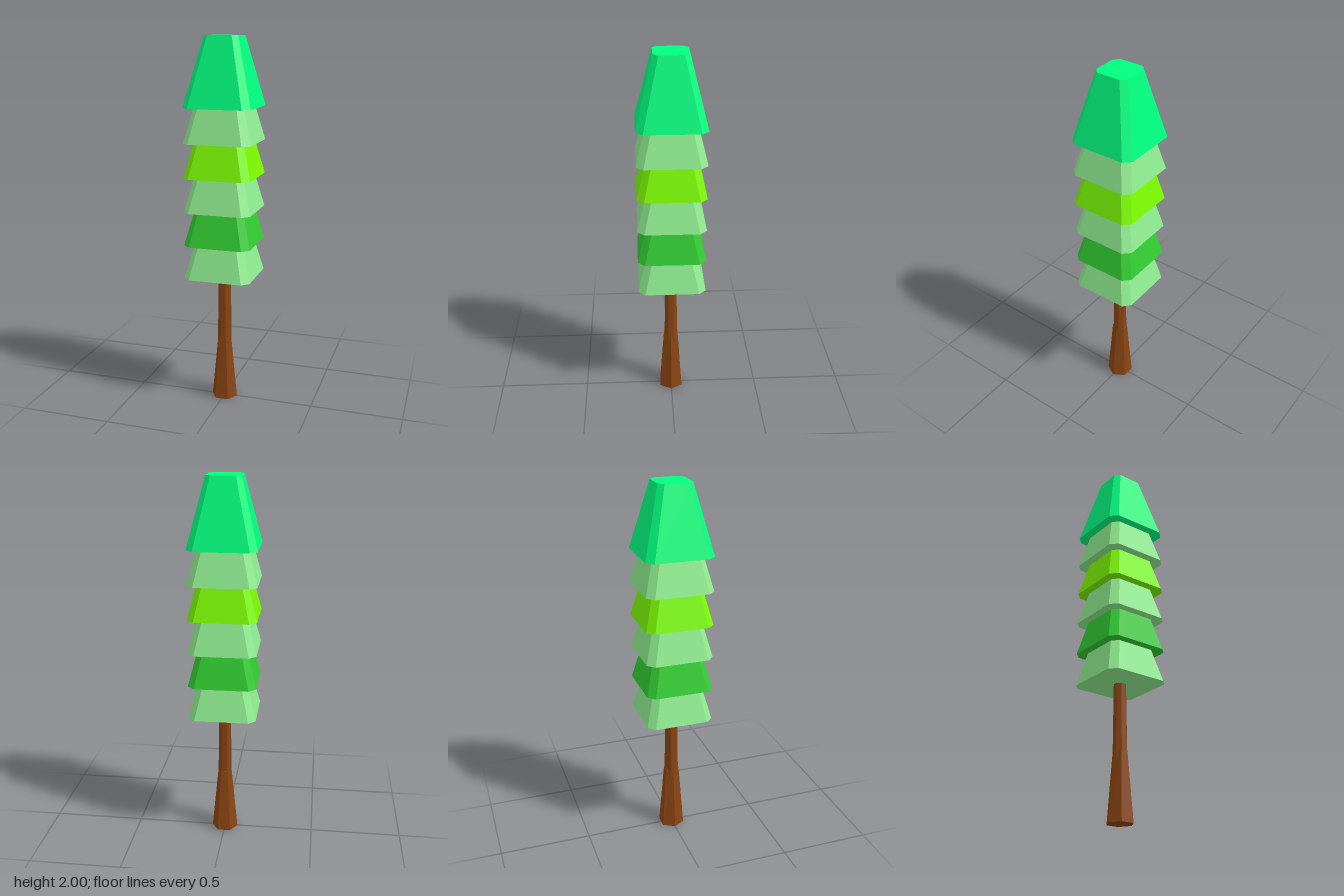
import * as THREE from 'three';

// Square ring with cut corners: half is the half width, flat the half length of each side
function cutSquare(half, flat) {
  return [[flat, half], [half, flat], [half, -flat], [flat, -half],
    [-flat, -half], [-half, -flat], [-half, flat], [-flat, half]];
}

// Hexagon with corners on the x axis
function hexagon(rx, rz) {
  return Array.from({ length: 6 }, (_, i) => {
    const a = Math.PI / 2 + i * Math.PI / 3;
    return [Math.sin(a) * rx, Math.cos(a) * rz];
  });
}

// Closed, faceted solid between a lower and an upper ring of [x, z] points
function frustum(name, lower, upper, y0, y1, color) {
  const n = lower.length;
  const positions = [];
  const push = (...points) => points.forEach((p) => positions.push(...p));
  const lo = lower.map(([x, z]) => [x, y0, z]);
  const up = upper.map(([x, z]) => [x, y1, z]);
  for (let i = 0; i < n; i++) {
    const j = (i + 1) % n;
    push(lo[i], lo[j], up[j], lo[i], up[j], up[i]);
    push([0, y0, 0], lo[j], lo[i], [0, y1, 0], up[i], up[j]);
  }
  const geometry = new THREE.BufferGeometry();
  geometry.setAttribute('position', new THREE.Float32BufferAttribute(positions, 3));
  geometry.computeVertexNormals();
  const mesh = new THREE.Mesh(geometry, new THREE.MeshStandardMaterial({ color, flatShading: true }));
  mesh.name = name;
  return mesh;
}

export function createModel() {
  const tree = new THREE.Group();
  tree.name = 'tree';

  // Trunk: flared six-sided foot below a slim eight-sided stem
  const bark = 0x8b4513;
  tree.add(frustum('trunkBase', hexagon(0.072, 0.072), hexagon(0.037, 0.044), 0, 0.364, bark));
  tree.add(frustum('trunkStem', cutSquare(0.036, 0.015), cutSquare(0.03, 0.0125), 0.3, 0.8, bark));

  // Foliage: overlapping tapered tiers, bottom to top
  const colors = [0x90ee90, 0x32cd32, 0x90ee90, 0x7cfc00, 0x90ee90, 0x00ff7f];
  const height = 0.364;
  colors.forEach((color, i) => {
    const y = 0.727 + i * height / 2;
    tree.add(frustum(`foliageTier${i + 1}`, cutSquare(0.182, 0.145), cutSquare(0.091, 0.064),
      y, y + height - 0.001, color));
  });
  return tree;
}
